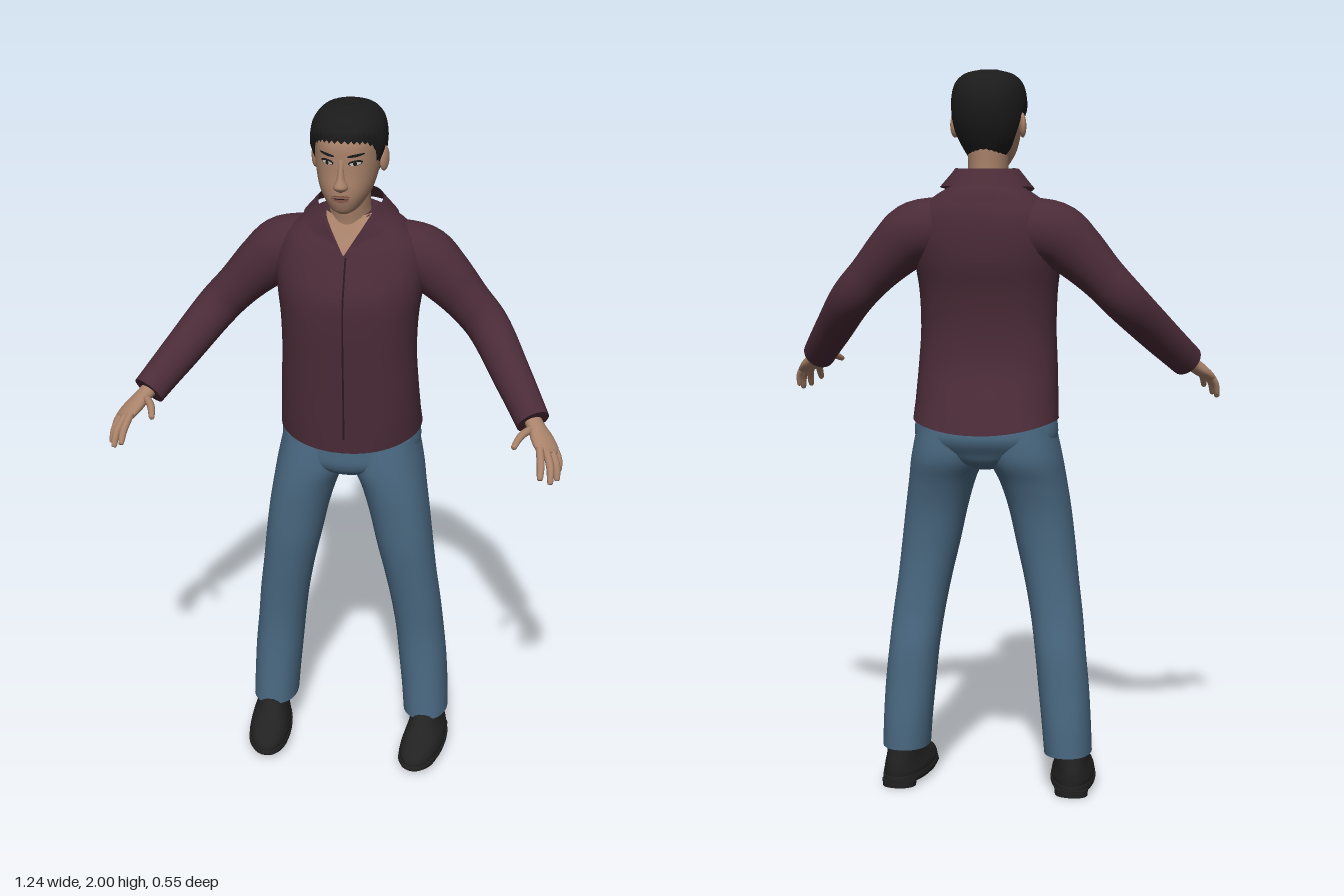
import * as THREE from 'three';

const mat = (name, color, side = THREE.FrontSide) => {
  const m = new THREE.MeshStandardMaterial({ color, side });
  m.name = name;
  return m;
};
const V = (p) => new THREE.Vector3(...p);
const TAU = Math.PI * 2;

// Smooth interpolation through the rows of a table, v in 0..1
function sample(table, v) {
  const f = v * (table.length - 1), i = Math.min(Math.floor(f), table.length - 2), t = f - i;
  const row = (k) => table[Math.max(0, Math.min(table.length - 1, k))];
  return table[0].map((_, c) => {
    const [a, b, d, e] = [row(i - 1)[c], row(i)[c], row(i + 1)[c], row(i + 2)[c]];
    return b + 0.5 * t * (d - a + t * (2 * a - 5 * b + 4 * d - e + t * (3 * (b - d) + e - a)));
  });
}
function findV(table, y) {
  let lo = 0, hi = 1;
  for (let i = 0; i < 24; i++) {
    const m = (lo + hi) / 2;
    if (sample(table, m)[0] < y) lo = m; else hi = m;
  }
  return lo;
}
const power = (c, n) => Math.sign(c) * Math.abs(c) ** (2 / n);

// Point of a horizontal section [y, centre x, half width, front z, back z]
function onSection([y, cx, w, zf, zb], angle, n) {
  return V([cx + w * power(Math.cos(angle), n), y, (zf + zb) / 2 + (zf - zb) / 2 * power(Math.sin(angle), n)]);
}

// Skin over rows of points, with optional flat end caps
function loft(rows, closed = true, caps = true) {
  const n = rows[0].length, pos = [], idx = [];
  rows.forEach((r) => r.forEach((p) => pos.push(p.x, p.y, p.z)));
  for (let i = 0; i < rows.length - 1; i++) {
    for (let j = 0; j < (closed ? n : n - 1); j++) {
      const a = i * n + j, b = i * n + (j + 1) % n;
      idx.push(a, a + n, b, b, a + n, b + n);
    }
  }
  if (closed && caps) {
    [rows[0], rows[rows.length - 1]].forEach((r, end) => {
      const base = pos.length / 3, c = new THREE.Vector3();
      r.forEach((p) => { pos.push(p.x, p.y, p.z); c.addScaledVector(p, 1 / n); });
      pos.push(c.x, c.y, c.z);
      for (let j = 0; j < n; j++) {
        const a = base + j, b = base + (j + 1) % n;
        idx.push(base + n, end ? b : a, end ? a : b);
      }
    });
  }
  const g = new THREE.BufferGeometry();
  g.setAttribute('position', new THREE.Float32BufferAttribute(pos, 3));
  g.setIndex(idx);
  g.computeVertexNormals();
  return g;
}

// Body of stacked horizontal sections
function stack(table, n = 2.2, steps = 40, sides = 40, warp = null) {
  const rows = [];
  for (let i = 0; i <= steps; i++) {
    const s = sample(table, i / steps);
    rows.push(Array.from({ length: sides }, (_, j) => {
      const p = onSection(s, j / sides * TAU, n);
      if (warp) warp(p);
      return p;
    }));
  }
  return loft(rows);
}

// Limb along a path of [x, y, z, radius along ref, other radius]
function limb(path, ref, steps = 24, sides = 20) {
  const rows = [];
  for (let i = 0; i <= steps; i++) {
    const v = i / steps, s = sample(path, v);
    const at = (k) => V(sample(path, Math.max(0, Math.min(1, k))).slice(0, 3));
    const t = at(v + 0.02).sub(at(v - 0.02)).normalize();
    const u = ref.clone().addScaledVector(t, -ref.dot(t)).normalize();
    const w = u.clone().cross(t);
    rows.push(Array.from({ length: sides }, (_, j) => V(s.slice(0, 3))
      .addScaledVector(u, s[3] * Math.cos(j / sides * TAU))
      .addScaledVector(w, s[4] * Math.sin(j / sides * TAU))));
  }
  return loft(rows);
}

function mirrored(geo) {
  const g = geo.clone().scale(-1, 1, 1), a = g.index.array;
  for (let i = 0; i < a.length; i += 3) [a[i], a[i + 1]] = [a[i + 1], a[i]];
  g.computeVertexNormals();
  return g;
}

// Lay a flat shape on the front of a stacked body
function decal(geo, table, n, lift) {
  const p = geo.attributes.position;
  for (let i = 0; i < p.count; i++) {
    const x = p.getX(i), [, , w, zf, zb] = sample(table, findV(table, p.getY(i)));
    const k = Math.max(0, 1 - Math.abs(x / w) ** n) ** (1 / n);
    p.setZ(i, (zf + zb) / 2 + (zf - zb) / 2 * k + lift);
  }
  geo.computeVertexNormals();
  return geo;
}

const TORSO = [[1.025, 0, .2, .05, -.275], [1.1, 0, .197, .055, -.25], [1.2, 0, .192, .06, -.215],
  [1.3, 0, .187, .067, -.205], [1.4, 0, .19, .073, -.215], [1.48, 0, .2, .07, -.232], [1.55, 0, .205, .046, -.236],
  [1.61, 0, .19, .02, -.23], [1.65, 0, .155, -.003, -.217], [1.68, 0, .11, -.02, -.205], [1.7, 0, .07, -.03, -.18]];
const HEAD = [[1.728, 0, .02, .04, -.03], [1.74, 0, .04, .053, -.07], [1.77, 0, .063, .064, -.13],
  [1.8, 0, .075, .066, -.145], [1.84, 0, .084, .063, -.165], [1.88, 0, .088, .062, -.176], [1.92, 0, .088, .06, -.176],
  [1.955, 0, .078, .042, -.16], [1.977, 0, .052, .01, -.13], [1.985, 0, .012, -.04, -.08]];

export function createModel() {
  const model = new THREE.Group();
  const skin = mat('skin', 0xa9826a), lip = mat('lips', 0x8d5f50), hair = mat('hair', 0x1b1b1c, THREE.DoubleSide);
  const shirt = mat('shirt', 0x4a2b37, THREE.DoubleSide), seam = mat('seam', 0x2a171f);
  const denim = mat('denim', 0x4a6982), leather = mat('shoe leather', 0x222222), white = mat('eye white', 0xc9c0b8);
  const add = (name, geo, m) => {
    const mesh = new THREE.Mesh(geo, m);
    mesh.name = name;
    model.add(mesh);
  };
  const pair = (name, geo, m) => {
    add(name + 'Left', geo, m);
    add(name + 'Right', mirrored(geo), m);
  };

  // Shirt body with a hem that lifts at the sides
  add('shirtBody', stack(TORSO, 2.3, 50, 56, (p) => {
    if (p.y < 1.1) p.y += 0.03 * (p.x / 0.2) ** 2 * (1.1 - p.y) / 0.075;
  }), shirt);
  const placket = new THREE.PlaneGeometry(.005, .53, 1, 30).translate(.006, 1.335, 0);
  add('placketSeam', decal(placket, TORSO, 2.3, .002), seam);

  // Open neckline and collar
  const neckline = new THREE.PlaneGeometry(2, .095, 8, 10).translate(0, 1.6525, 0);
  const np = neckline.attributes.position;
  for (let i = 0; i < np.count; i++) np.setX(i, np.getX(i) * (np.getY(i) - 1.604) * .65);
  add('necklineSkin', decal(neckline, TORSO, 2.3, .005), skin);
  const collarEdge = (half) => {
    const other = half.slice(0, -1).reverse().map(([x, y, z]) => [-x, y, z]);
    return new THREE.CatmullRomCurve3([...half, ...other].map(V)).getPoints(48);
  };
  add('collar', loft([
    collarEdge([[.055, 1.635, .022], [.112, 1.672, -.03], [.128, 1.685, -.11], [.08, 1.69, -.19], [0, 1.69, -.216]]),
    collarEdge([[.006, 1.612, .028], [.055, 1.69, -.002], [.088, 1.732, -.085], [.06, 1.736, -.16], [0, 1.736, -.182]]),
  ], false), shirt);

  // Sleeves
  const Z = V([0, 0, 1]);
  pair('sleeve', limb([[.1, 1.575, -.125, .085, .085], [.19, 1.56, -.125, .085, .088], [.25, 1.515, -.12, .076, .078],
    [.32, 1.445, -.112, .062, .064], [.385, 1.375, -.092, .056, .06], [.46, 1.285, .005, .05, .054],
    [.5, 1.238, .06, .046, .05], [.532, 1.2, .108, .044, .047]], Z, 36, 28), shirt);

  // Hands: palm, four fingers and a thumb
  const spread = V([-.045, .015, .04]).normalize();
  pair('palm', limb([[.52, 1.215, .09, .027, .022], [.542, 1.193, .122, .027, .02], [.563, 1.172, .152, .037, .019],
    [.58, 1.155, .18, .037, .015], [.586, 1.148, .19, .026, .009]], spread), skin);
  const fingers = {
    indexFinger: [[.56, 1.168, .198], [.568, 1.142, .24], [.57, 1.114, .268]],
    middleFinger: [[.575, 1.16, .186], [.592, 1.13, .225], [.596, 1.095, .249]],
    ringFinger: [[.588, 1.155, .175], [.606, 1.124, .2], [.611, 1.09, .216]],
    littleFinger: [[.597, 1.155, .16], [.611, 1.128, .173], [.614, 1.1, .182]],
    thumb: [[.535, 1.195, .135], [.508, 1.19, .178], [.494, 1.176, .22]],
  };
  for (const [name, [a, b, c]] of Object.entries(fingers)) {
    const r = name === 'littleFinger' ? .0085 : .0105;
    const tip = c.map((k, i) => k + (c[i] - b[i]) * .12);
    pair(name, limb([[...a, r, r], [...b, r, r], [...c, r * .75, r * .75], [...tip, .002, .002]], spread, 15, 10), skin);
  }

  // Trousers
  add('trouserSeat', stack([[.915, 0, .03, -.04, -.15], [.935, 0, .09, .005, -.2], [.965, 0, .17, .025, -.222],
    [1.01, 0, .198, .028, -.243], [1.08, 0, .19, .025, -.23]], 2.3), denim);
  pair('trouserLeg', stack([[.115, .231, .066, -.012, -.186], [.2, .226, .068, -.017, -.187], [.3, .218, .07, -.02, -.182],
    [.4, .208, .07, -.018, -.178], [.5, .196, .072, -.008, -.165], [.6, .18, .075, .005, -.16], [.7, .163, .081, .018, -.163],
    [.8, .146, .086, .025, -.175], [.88, .128, .092, .03, -.198], [.95, .108, .101, .03, -.225],
    [1.04, .1, .09, .02, -.225]], 2.2, 48, 32), denim);

  // Shoes, turned slightly in at the toe
  const toeIn = (p) => { p.x -= (p.z + .03) * .09; };
  const shoe = (name, table) => pair(name, stack(table, 2.2, 16, 36, toeIn), leather);
  shoe('shoeUpper', [[.02, .236, .058, .113, -.168], [.04, .236, .061, .116, -.172], [.062, .236, .056, .098, -.172],
    [.08, .235, .05, .05, -.17], [.1, .234, .046, .012, -.166], [.14, .233, .042, -.02, -.16]]);
  shoe('shoeSole', [[.012, .236, .06, .112, -.172], [.02, .236, .064, .12, -.176], [.032, .236, .063, .118, -.176]]);
  shoe('shoeTread', [[0, .236, .05, .09, -.06], [.02, .236, .06, .112, -.075]]);
  shoe('shoeHeel', [[0, .236, .046, -.1, -.174], [.02, .236, .048, -.098, -.176]]);

  // Neck, head, nose and ears
  add('neck', stack([[1.6, 0, .068, -.02, -.17], [1.68, 0, .058, -.014, -.16], [1.72, 0, .054, -.008, -.15],
    [1.79, 0, .056, 0, -.15]], 2, 16), skin);
  add('head', stack(HEAD, 2.2, 44, 44), skin);
  add('nose', stack([[1.799, 0, .009, .074, .04], [1.806, 0, .019, .083, .04], [1.815, 0, .019, .088, .04],
    [1.832, 0, .012, .08, .04], [1.855, 0, .009, .071, .04], [1.885, 0, .011, .062, .04]], 2, 24, 20), skin);
  pair('ear', new THREE.SphereGeometry(1, 18, 14).scale(.01, .034, .021)
    .rotateY(-.35).rotateX(-.15).translate(.093, 1.852, -.07), skin);

  // Eyes, brows and mouth as thin plates on the face
  const plate = (x, y, rx, ry, tilt, lift) =>
    decal(new THREE.CircleGeometry(1, 20).scale(rx, ry, 1).rotateZ(tilt).translate(x, y, 0), HEAD, 2.2, lift);
  pair('eyeLash', plate(.037, 1.876, .018, .0075, .08, .002), hair);
  pair('eyeWhite', plate(.037, 1.8745, .0145, .0045, .08, .0035), white);
  pair('iris', plate(.037, 1.875, .005, .005, 0, .005), hair);
  pair('eyebrow', plate(.038, 1.896, .022, .0038, .12, .003), hair);
  add('upperLip', plate(0, 1.784, .026, .005, 0, .003), lip);
  add('lowerLip', plate(0, 1.774, .022, .006, 0, .003), lip);
  add('mouthLine', plate(0, 1.7795, .025, .0014, 0, .0045), seam);

  // Hair cap with a ragged hairline that dips at sideburns and nape
  const line = [[-1, 1.762], [-.6, 1.768], [-.4, 1.81], [-.25, 1.865], [0, 1.885], [.12, 1.858], [.32, 1.862],
    [.48, 1.905], [.75, 1.925], [1.01, 1.93]];
  const N = 72, steps = 26;
  const starts = Array.from({ length: N }, (_, j) => {
    const f = Math.sin(j / N * TAU), i = Math.max(1, line.findIndex((l) => l[0] >= f));
    const [a, b] = [line[i - 1], line[i]];
    const y = THREE.MathUtils.mapLinear(f, a[0], b[0], a[1], b[1]);
    return findV(HEAD, y + (j % 2 ? .004 : -.004));
  });
  const hairRows = [];
  for (let i = 0; i <= steps; i++) {
    const k = i / steps, thick = Math.min(1, .1 + k * 5);
    hairRows.push(starts.map((v0, j) => {
      const [y, cx, w, zf, zb] = sample(HEAD, v0 + (1 - v0) * k);
      return onSection([y + .015 * k, cx, w + .013 * thick, zf + .007 * thick, zb - .015 * thick], j / N * TAU, 2.2);
    }));
  }
  const cap = loft(hairRows);
  add('hairCap', cap, hair);

  return model;
}
